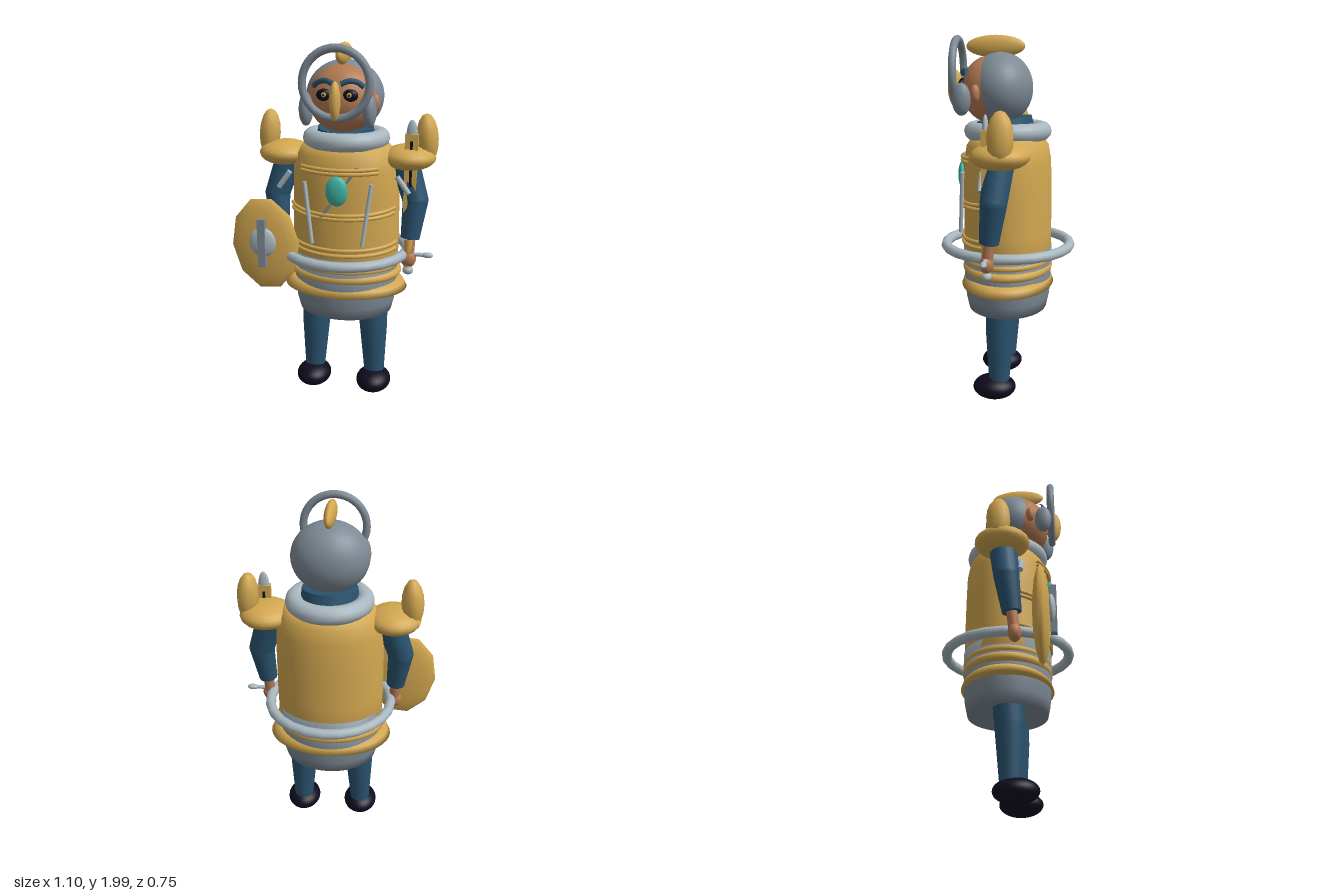
import * as THREE from 'three';

const mat = (name, color) => Object.assign(new THREE.MeshStandardMaterial({ color }), { name });
const gold = mat('gold', 0xd2a750);
const steel = mat('steel', 0x7d8994);
const silver = mat('silver', 0xa9b7bf);
const blue = mat('blue cloth', 0x2a536f);
const skin = mat('skin', 0xb47a52);
const dark = mat('dark leather', 0x0e0b1e);
const teal = mat('teal gem', 0x3fb5a3);

const V = (x, y, z) => new THREE.Vector3(x, y, z);

export function createModel() {
  const model = new THREE.Group();
  const body = new THREE.Group();
  body.name = 'armouredFigure';
  body.position.x = 0.045;
  model.add(body);

  const add = (name, geo, material, x = 0, y = 0, z = 0) => {
    const m = new THREE.Mesh(geo, material);
    m.name = name;
    m.position.set(x, y, z);
    body.add(m);
    return m;
  };
  const ball = (name, material, p, r, ws = 28, hs = 18) =>
    add(name, new THREE.SphereGeometry(1, ws, hs).scale(...r), material, ...p);
  const rod = (name, material, a, b, ra, rb = ra, seg = 20) => {
    const d = b.clone().sub(a);
    const m = add(name, new THREE.CylinderGeometry(rb, ra, d.length(), seg), material,
      ...a.clone().add(b).multiplyScalar(0.5).toArray());
    m.quaternion.setFromUnitVectors(V(0, 1, 0), d.normalize());
    return m;
  };
  const tube = (name, material, points, r) =>
    add(name, new THREE.TubeGeometry(new THREE.CatmullRomCurve3(points), 24, r, 8), material);
  const hoop = (name, material, y, rx, rz, r, seg = 40) => {
    const g = new THREE.TorusGeometry(rx - r, r, 12, seg).rotateX(Math.PI / 2);
    return add(name, g.scale(1, 1, rz / rx), material, 0, y, 0);
  };
  const lathe = (name, material, profile, depth) => {
    const pts = profile.map(([r, y]) => new THREE.Vector2(r, y));
    return add(name, new THREE.LatheGeometry(pts, 40).scale(1, 1, depth), material);
  };

  // Torso, skirt and collar
  lathe('breastplate', gold, [[0.27, 0.8], [0.298, 0.82], [0.3, 0.95], [0.297, 1.2], [0.293, 1.34],
    [0.275, 1.42], [0.24, 1.46], [0.17, 1.48], [0, 1.48]], 0.81);
  lathe('skirt', steel, [[0, 0.505], [0.265, 0.505], [0.282, 0.57], [0.292, 0.65], [0.297, 0.86], [0, 0.87]], 0.83);
  rod('neck', blue, V(0, 1.4, 0), V(0, 1.56, 0.02), 0.17, 0.15, 28);
  hoop('collar', silver, 1.495, 0.238, 0.238, 0.05);
  hoop('waistRing', silver, 0.865, 0.374, 0.374, 0.028, 24);

  // Lower armour bands
  lathe('flaredBand', gold, [[0.28, 0.645], [0.352, 0.645], [0.335, 0.68], [0.31, 0.697], [0.28, 0.697]], 0.73);
  hoop('lowerBand', gold, 0.745, 0.318, 0.25, 0.024);
  hoop('upperBand', gold, 0.795, 0.303, 0.248, 0.02);

  // Ribs curving across the chest
  for (const [y, span, sag] of [[1.365, 0.75, 0.02], [1.335, 0.75, 0.01], [1.13, 1.25, 0.03],
    [1.1, 1.2, 0.02], [0.925, 1.35, 0.02], [0.89, 1.3, 0.015]]) {
    const pts = [];
    for (let i = 0; i <= 10; i++) {
      const a = span * (i / 5 - 1);
      pts.push(V(0.301 * Math.sin(a), y - sag * Math.cos(a) + 0.015, 0.246 * Math.cos(a)));
    }
    tube('chestRib', gold, pts, 0.011);
  }

  // Chest gem and rods
  ball('chestGem', teal, [0, 1.25, 0.248], [0.06, 0.08, 0.028]);
  rod('diagonalRod', steel, V(-0.095, 1.09, 0.236), V(0.105, 1.375, 0.225), 0.009);

  // Head and helmet
  ball('head', skin, [0, 1.715, 0.085], [0.187, 0.18, 0.165]);
  ball('helmet', steel, [0, 1.722, 0.037], [0.208, 0.19, 0.173], 36, 24);
  ball('crest', gold, [0, 1.94, 0.065], [0.031, 0.058, 0.158], 20, 14);
  ball('nosePiece', gold, [0, 1.72, 0.285], [0.029, 0.1, 0.043], 12, 10);
  add('visorRing', new THREE.TorusGeometry(0.172, 0.021, 12, 40), steel, 0, 1.805, 0.27);

  for (const s of [-1, 1]) {
    // Face details
    ball('ear', skin, [s * 0.18, 1.7, 0.15], [0.026, 0.047, 0.025]);
    ball('cheekGuard', steel, [s * 0.165, 1.67, 0.225], [0.036, 0.085, 0.05]);
    ball('eye', dark, [s * 0.068, 1.745, 0.234], [0.04, 0.031, 0.02]);
    ball('iris', gold, [s * 0.066, 1.747, 0.251], [0.014, 0.013, 0.006], 14, 10);
    ball('pupil', dark, [s * 0.066, 1.747, 0.256], [0.006, 0.006, 0.004], 10, 8);
    tube('eyebrow', blue, [V(s * 0.018, 1.8, 0.238), V(s * 0.06, 1.815, 0.226),
      V(s * 0.1, 1.808, 0.21), V(s * 0.13, 1.785, 0.2)], 0.014);

    // Shoulders
    ball('shoulderPad', gold, [s * 0.345, 1.4, 0], [0.145, 0.07, 0.153], 20, 12);
    const horn = ball('shoulderHorn', gold, [s * 0.438, 1.5, -0.012], [0.06, 0.135, 0.068], 10, 8);
    horn.rotation.z = s * 0.06;

    // Arms
    const shoulder = V(s * 0.315, 1.4, 0), elbow = V(s * 0.39, 1.17, 0.028), wrist = V(s * 0.37, 0.96, 0.055);
    rod('upperArm', blue, shoulder, elbow, 0.078, 0.07);
    ball('elbow', blue, elbow.toArray(), [0.07, 0.07, 0.07]);
    rod('forearm', blue, elbow, wrist, 0.07, 0.052);
    rod('wrist', skin, wrist, V(s * 0.365, 0.86, 0.066), 0.03);
    ball('hand', skin, [s * 0.365, 0.845, 0.068], [0.043, 0.05, 0.036]);
    rod('armStrap', silver, V(s * 0.36, 1.22, 0.1), V(s * 0.295, 1.31, 0.1), 0.015);

    // Upright chest rods
    rod('chestRod', silver, V(s * 0.137, 0.955, 0.243), V(s * 0.18, 1.29, 0.222), 0.011);

    // Legs and shoes
    rod('thigh', blue, V(s * 0.17, 0.4, 0.025), V(s * 0.163, 0.56, 0.018), 0.079, 0.088);
    rod('shin', blue, V(s * 0.18, 0.08, 0.03), V(s * 0.17, 0.41, 0.025), 0.055, 0.08);
    ball('shoe', dark, [s * 0.18, 0.07, 0.056], [0.1, 0.066, 0.12]);
  }

  // Shield on the right arm
  const shield = add('shield', new THREE.SphereGeometry(1, 10, 8).rotateX(Math.PI / 2)
    .scale(0.193, 0.268, 0.047), gold, -0.41, 0.92, 0.21);
  shield.rotation.z = 0.08;
  ball('shieldBoss', silver, [-0.41, 0.945, 0.262], [0.076, 0.083, 0.024]);
  add('shieldBar', new THREE.BoxGeometry(0.042, 0.27, 0.034), steel, -0.41, 0.945, 0.273);

  // Sword held upright in the left hand
  const sx = 0.365, sz = 0.07;
  const outline = new THREE.Shape([[-0.035, 0.43], [-0.035, 0], [0.03, 0.1], [0.035, 0.43]]
    .map(([x, y]) => new THREE.Vector2(x, y)));
  add('scabbard', new THREE.ExtrudeGeometry(outline, { depth: 0.036, bevelEnabled: false }),
    gold, sx, 1.105, sz - 0.018);
  ball('bladeTip', silver, [sx, 1.53, sz], [0.03, 0.08, 0.016], 16, 12);
  add('bladeGroove', new THREE.BoxGeometry(0.014, 0.6, 0.04), dark, sx, 1.2, sz);
  rod('grip', gold, V(sx, 0.8, sz), V(sx, 0.96, sz), 0.024);
  rod('crossguard', silver, V(sx - 0.06, 0.872, sz), V(sx + 0.13, 0.872, sz), 0.011);
  ball('guardEnd', silver, [sx + 0.105, 0.872, sz], [0.032, 0.016, 0.018]);
  ball('pommel', silver, [sx, 0.778, sz], [0.03, 0.025, 0.028]);

  return model;
}
